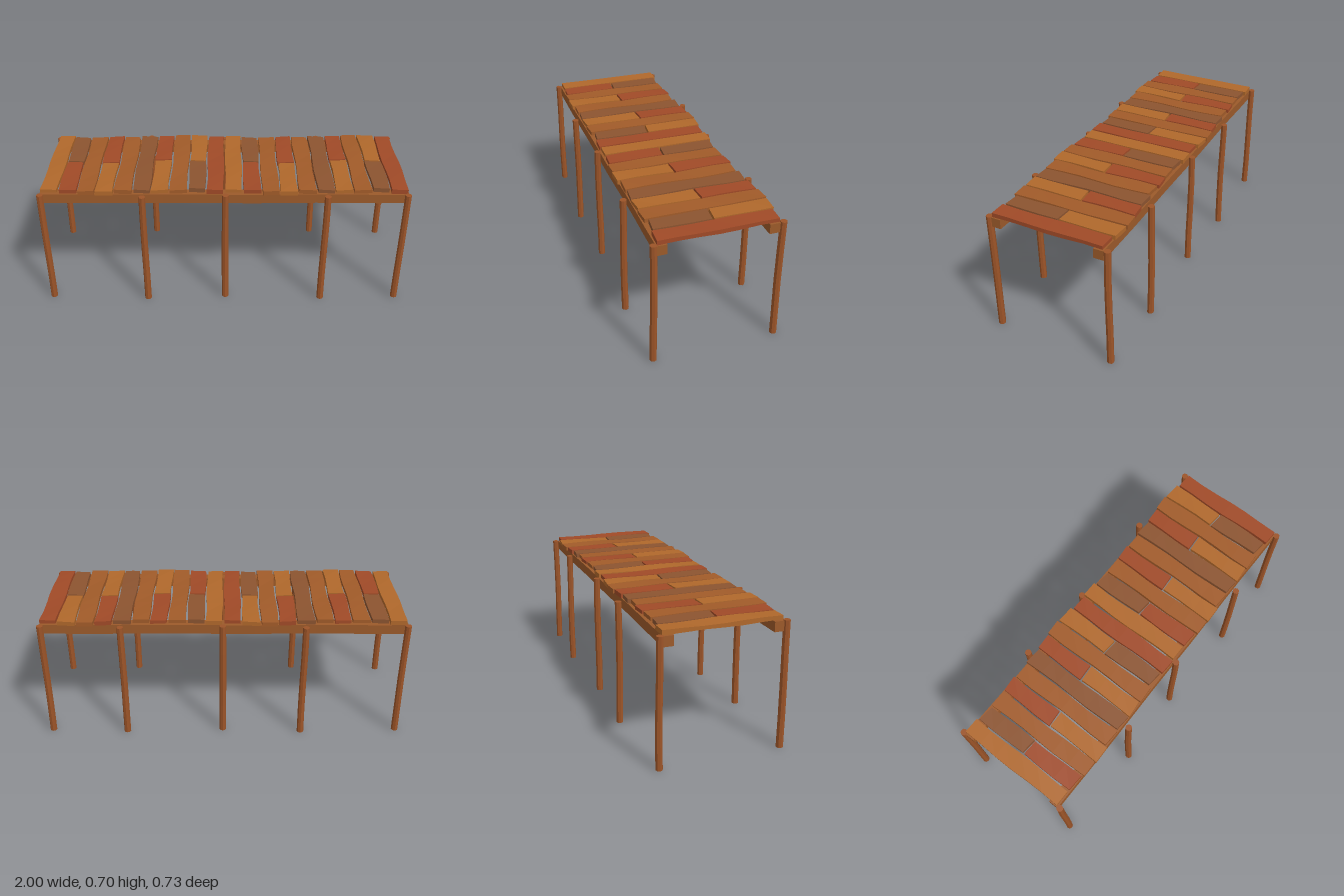
import * as THREE from 'three';

const COLORS = { orange: 0xb0682b, tan: 0xa15b29, brown: 0x8c5430, red: 0xa04a27, post: 0x9c5428, beam: 0x9c5a2a };
const materials = {};
for (const key in COLORS) materials[key] = new THREE.MeshStandardMaterial({ color: COLORS[key], flatShading: true });

// Moves every vertex by a rule that depends on its position only, so seams stay closed
function warp(geometry, rule) {
  const p = geometry.attributes.position;
  const v = new THREE.Vector3();
  for (let i = 0; i < p.count; i++) {
    v.fromBufferAttribute(p, i);
    rule(v);
    p.setXYZ(i, v.x, v.y, v.z);
  }
  geometry.computeVertexNormals();
  return geometry;
}

// Ten-plank pattern, laid twice: back end, front end, colours (two when split), split position
const PATTERN = [
  [-0.31, 0.305, ['orange']],
  [-0.293, 0.308, ['brown', 'red'], 0.003],
  [-0.295, 0.322, ['tan']],
  [-0.303, 0.325, ['red', 'orange'], 0.013],
  [-0.295, 0.31, ['tan']],
  [-0.305, 0.308, ['brown']],
  [-0.313, 0.31, ['red', 'orange'], -0.017],
  [-0.325, 0.31, ['tan']],
  [-0.32, 0.293, ['orange', 'brown'], -0.008],
  [-0.303, 0.308, ['red']],
];
const PITCH = 0.0985;

function plank(x, z0, z1, color, seed) {
  const length = z1 - z0;
  const geometry = new THREE.BoxGeometry(0.089, 0.02, length, 1, 1, length > 0.4 ? 6 : 3);
  geometry.translate(0, 0, (z0 + z1) / 2);
  warp(geometry, (v) => {
    const side = Math.sign(v.x);
    const z = v.z;
    // Slightly bowed edges, skewed ends and a sagging underside
    v.x += 0.0035 * Math.sin(z * 14 + seed * 2.1 + side * 0.9);
    v.z += 0.004 * side * Math.sin(seed * 1.7);
    if (v.y < 0) v.y -= 0.003 * Math.sin(z * 16 + seed) + 0.002;
    else v.y += 0.0015 * Math.sin(z * 12 + seed * 1.3 + side);
  });
  const mesh = new THREE.Mesh(geometry, materials[color]);
  mesh.name = 'deckPlank';
  mesh.position.set(x, 0.692, 0);
  return mesh;
}

function post(x, z, seed) {
  const geometry = new THREE.CylinderGeometry(0.018, 0.019, 0.68, 8, 4);
  geometry.translate(0, 0.34, 0);
  warp(geometry, (v) => {
    v.x += 0.0012 * Math.sin(v.y * 9 + seed);
    v.z += 0.002 * Math.sin(v.y * 8 + seed * 1.9);
  });
  const mesh = new THREE.Mesh(geometry, materials.post);
  mesh.name = 'post';
  mesh.position.set(x, 0, z);
  return mesh;
}

function beam(x0, x1, z, seed) {
  const geometry = new THREE.BoxGeometry(x1 - x0, 0.053, 0.054, 6, 1, 1);
  warp(geometry, (v) => {
    const x = v.x;
    v.y += 0.0012 * Math.sin(x * 9 + seed);
    v.z += 0.0015 * Math.sin(x * 8 + seed * 2);
  });
  const mesh = new THREE.Mesh(geometry, materials.beam);
  mesh.name = 'sideBeam';
  mesh.position.set((x0 + x1) / 2, 0.65, z);
  return mesh;
}

export function createModel() {
  const model = new THREE.Group();
  model.name = 'woodenWalkway';

  // Deck
  const deck = new THREE.Group();
  deck.name = 'deck';
  for (let i = 0; i < 20; i++) {
    const [back, front, colors, split] = PATTERN[i % 10];
    const x = -0.934 + i * PITCH;
    const seed = i % 10;
    if (colors.length === 2) {
      deck.add(plank(x, back, split - 0.005, colors[0], seed));
      deck.add(plank(x, split + 0.005, front, colors[1], seed + 0.5));
    } else {
      deck.add(plank(x, back, front, colors[0], seed));
    }
  }

  // Two lengths of beam under each long edge
  const frame = new THREE.Group();
  frame.name = 'beams';
  for (const z of [0.287, -0.281]) {
    frame.add(beam(-0.985, 0, z, 1), beam(0, 0.985, z, 2));
  }

  // Five pairs of posts, the second and fourth set slightly outwards
  const posts = new THREE.Group();
  posts.name = 'posts';
  [-0.98, -0.437, 0.005, 0.55, 0.978].forEach((x, i) => {
    const out = i % 2 ? 0.017 : 0;
    posts.add(post(x, 0.326 + out, i), post(x, -0.324 - out, i + 5));
  });

  model.add(deck, frame, posts);
  return model;
}
